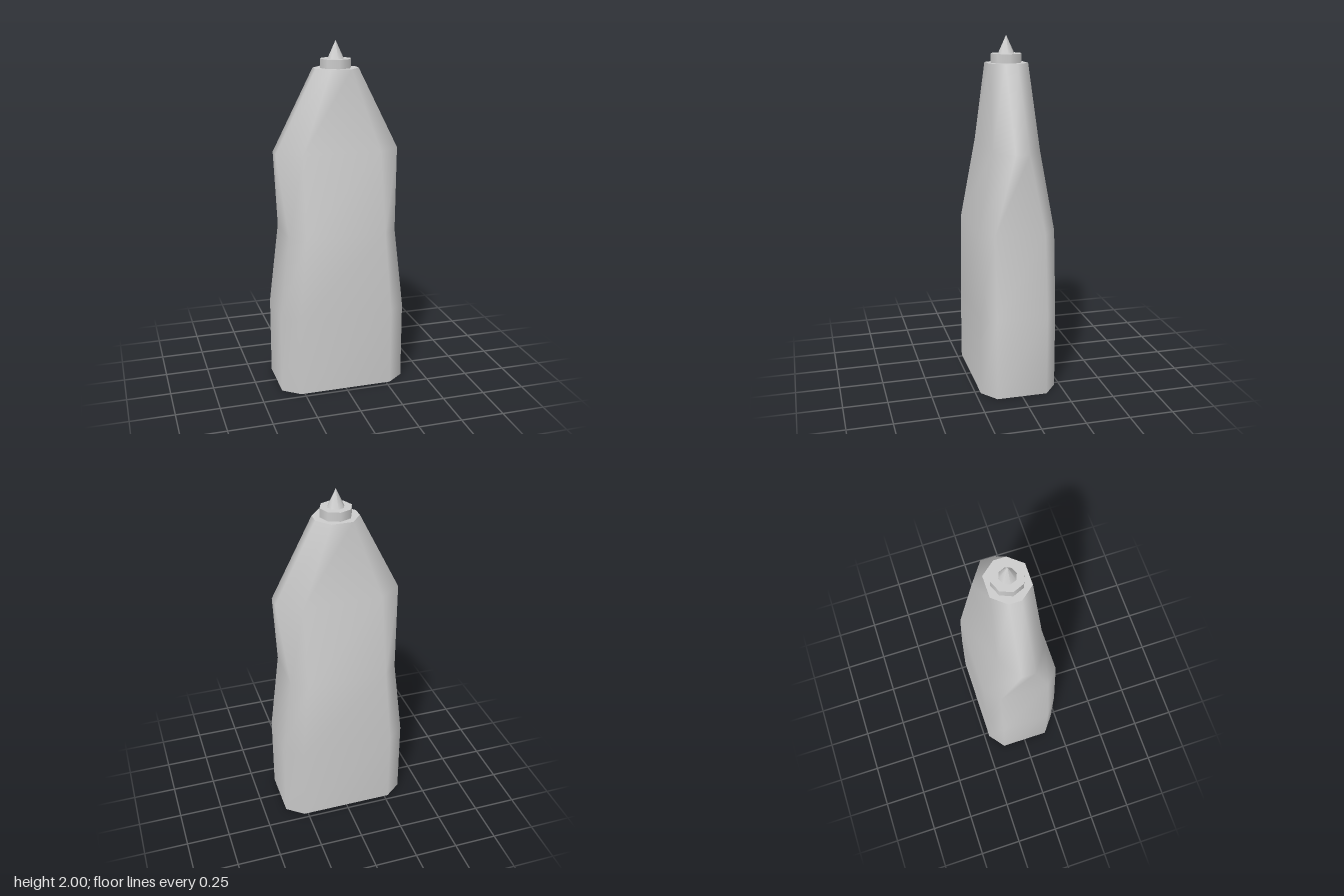
import * as THREE from 'three';

// Chamfered rectangle, counterclockwise from above:
// w, d are half width and depth; b, c are where the chamfers start.
function ring([y, w, d, b, c]) {
  return [[w, -c], [b, -d], [-b, -d], [-w, -c], [-w, c], [-b, d], [b, d], [w, c]]
    .map(([x, z]) => [x, y, z]);
}

// Side skin shares its vertices (smooth); the end caps have their own (flat).
function loft(sections) {
  const rings = sections.map(ring);
  const n = 8, last = rings.length - 1;
  const points = [...rings, rings[0], rings[last]].flat();
  const index = [];
  for (let r = 0; r < last; r++) {
    for (let i = 0; i < n; i++) {
      const j = (i + 1) % n;
      const a = r * n + i, b = r * n + j;
      index.push(a, b, b + n, a, b + n, a + n);
    }
  }
  const bottom = (last + 1) * n, top = bottom + n;
  for (let i = 1; i < n - 1; i++) {
    index.push(bottom, bottom + i + 1, bottom + i);
    index.push(top, top + i, top + i + 1);
  }
  const geometry = new THREE.BufferGeometry();
  geometry.setAttribute('position', new THREE.Float32BufferAttribute(points.flat(), 3));
  geometry.setIndex(index);
  geometry.computeVertexNormals();
  return geometry;
}

export function createModel() {
  const group = new THREE.Group();
  const grey = new THREE.MeshStandardMaterial({ name: 'light grey', color: 0xcccccc });

  const add = (name, geometry, y = 0) => {
    const mesh = new THREE.Mesh(geometry, grey);
    mesh.name = name;
    mesh.position.y = y;
    group.add(mesh);
  };

  // Waisted body, thinning front to back towards the shoulders
  add('body', loft([
    [0, 0.369, 0.22, 0.273, 0.145],
    [0.46, 0.369, 0.22, 0.273, 0.145],
    [0.93, 0.312, 0.22, 0.23, 0.145],
    [1.39, 0.356, 0.133, 0.226, 0.04],
    [1.85, 0.123, 0.11, 0.06, 0.034],
  ]));

  // Collar and pointed tip
  add('collar', new THREE.CylinderGeometry(0.089, 0.089, 0.05, 8), 1.875);
  add('tip', new THREE.ConeGeometry(0.047, 0.1, 8), 1.95);

  return group;
}
